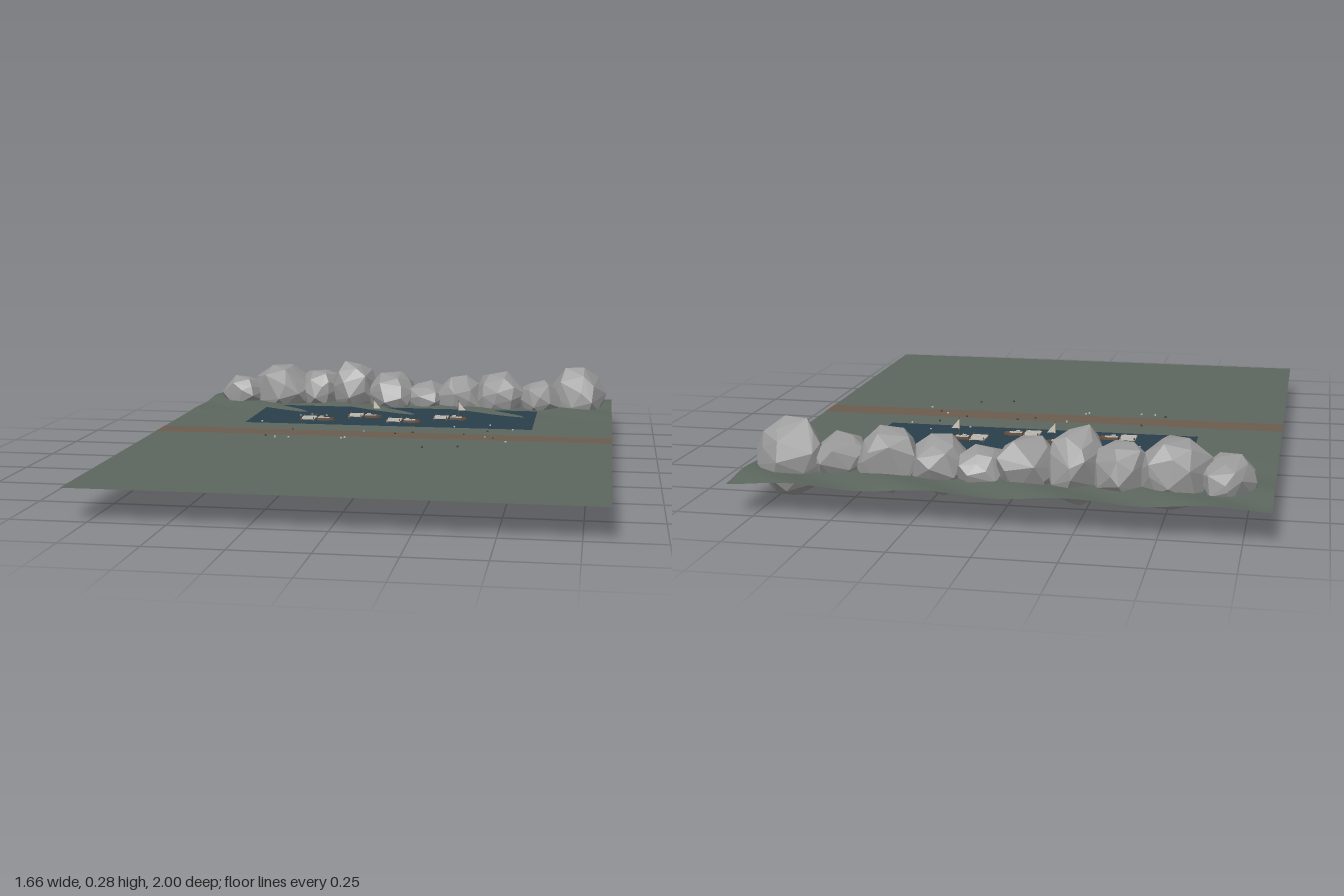
import * as THREE from 'three';
import { ConvexGeometry } from 'three/addons/geometries/ConvexGeometry.js';

const GROUND = 0.105;

function paint(name, color, side = THREE.FrontSide) {
  const m = new THREE.MeshStandardMaterial({ color, side });
  m.name = name;
  return m;
}

// small seeded random generator
function seeded(seed) {
  let s = seed;
  return () => (s = (s * 16807) % 2147483647) / 2147483647;
}

// diagonal ripples that grow towards the back edge
function groundHeight(x, z) {
  const amp = 0.0065 * Math.max(0, (-z - 0.3) / 0.7);
  const u = x - 1.33 * (z + 0.61) + 0.14;
  return GROUND + amp * Math.cos((u * Math.PI * 2) / 0.43);
}

export function createModel() {
  const model = new THREE.Group();
  const mats = {
    ground: paint('mossy green', 0x5c675e, THREE.DoubleSide),
    water: paint('deep water', 0x2a3f4b, THREE.DoubleSide),
    path: paint('brown earth', 0x6b5d4e, THREE.DoubleSide),
    rock: paint('grey stone', 0x999999),
    plank: paint('pale planks', 0xb9b7b0),
    wood: paint('dark wood', 0x6a5140),
    sail: paint('sail cloth', 0xcfcac0, THREE.DoubleSide),
    dark: paint('dark pebble', 0x3a3f3a),
  };
  const add = (parent, name, geo, mat, x = 0, y = 0, z = 0) => {
    const mesh = new THREE.Mesh(geo, mat);
    mesh.name = name;
    mesh.position.set(x, y, z);
    parent.add(mesh);
    return mesh;
  };
  const box = (w, h, d) => new THREE.BoxGeometry(w, h, d);
  const flat = (w, d, sx = 1, sz = 1) => new THREE.PlaneGeometry(w, d, sx, sz).rotateX(-Math.PI / 2);

  // ground sheet
  const ground = flat(1.665, 2, 100, 120);
  const p = ground.attributes.position;
  for (let i = 0; i < p.count; i++) p.setY(i, groundHeight(p.getX(i), p.getZ(i)));
  ground.computeVertexNormals();
  add(model, 'ground', ground, mats.ground);

  // lake and dirt path
  add(model, 'lake', flat(1.09, 0.415), mats.water, -0.005, GROUND + 0.0015, -0.4025);
  add(model, 'path', flat(1.665, 0.11), mats.path, 0, GROUND + 0.001, -0.02);

  // rock ridge: x range, y range, z range of each boulder
  const boulders = [
    [-0.78, -0.59, 0.05, 0.205, -0.87, -0.67],
    [-0.65, -0.40, 0.03, 0.25, -0.88, -0.645],
    [-0.46, -0.27, 0.05, 0.23, -0.89, -0.675],
    [-0.32, -0.13, 0.025, 0.275, -0.87, -0.66],
    [-0.18, 0.03, 0.04, 0.23, -0.88, -0.63],
    [-0.02, 0.17, 0.05, 0.2, -0.87, -0.67],
    [0.12, 0.31, 0.03, 0.225, -0.86, -0.655],
    [0.27, 0.49, 0.03, 0.245, -0.85, -0.66],
    [0.45, 0.63, 0.05, 0.215, -0.865, -0.64],
    [0.59, 0.81, 0.0, 0.265, -0.89, -0.69],
  ];
  const ridge = new THREE.Group();
  ridge.name = 'rockRidge';
  model.add(ridge);
  boulders.forEach(([x0, x1, y0, y1, z0, z1], n) => {
    const rnd = seeded(811 + n * 977);
    for (let k = 0; k < 5; k++) rnd();
    const pts = [];
    const count = 34;
    for (let i = 0; i < count; i++) {
      const h = 1 - (2 * (i + 0.5)) / count;
      const a = i * 2.39996 + rnd() * 0.7;
      const r = Math.sqrt(1 - h * h);
      pts.push(new THREE.Vector3(r * Math.cos(a), h, r * Math.sin(a)).multiplyScalar(0.85 + 0.2 * rnd()));
    }
    // fit the boulder into its range
    const b = new THREE.Box3().setFromPoints(pts);
    const size = b.getSize(new THREE.Vector3());
    pts.forEach((v) => v.set(
      x0 + ((v.x - b.min.x) / size.x) * (x1 - x0),
      y0 + ((v.y - b.min.y) / size.y) * (y1 - y0),
      z0 + ((v.z - b.min.z) / size.z) * (z1 - z0)));
    add(ridge, 'boulder', new ConvexGeometry(pts), mats.rock);
  });

  // pointed boat outline
  const outline = new THREE.Shape();
  outline.moveTo(-0.032, -0.011);
  outline.lineTo(0.012, -0.013);
  outline.quadraticCurveTo(0.028, -0.01, 0.034, 0);
  outline.quadraticCurveTo(0.028, 0.01, 0.012, 0.013);
  outline.lineTo(-0.032, 0.011);
  const hull = new THREE.ExtrudeGeometry(outline, { depth: 0.009, bevelEnabled: false }).rotateX(-Math.PI / 2);
  const sail = new THREE.Shape([[0, 0], [0.03, 0], [0, 0.035]].map(([x, y]) => new THREE.Vector2(x, y)));

  // moorings: a plank dock with a boat beside it
  [[-0.32, -0.285, false], [-0.15, -0.37, true], [0.012, -0.285, false], [0.182, -0.37, true]].forEach(([x, z, tall]) => {
    const mooring = new THREE.Group();
    mooring.name = 'mooring';
    mooring.position.set(x, GROUND, z);
    model.add(mooring);
    for (let i = 0; i < 4; i++) {
      add(mooring, 'plank', box(0.054, 0.003, 0.0155), mats.plank, 0, 0.01, (i - 1.5) * 0.0175);
    }
    for (const sx of [-1, 1]) {
      add(mooring, 'beam', box(0.004, 0.003, 0.068), mats.wood, sx * 0.02, 0.007, 0);
      for (const sz of [-1, 1]) {
        add(mooring, 'post', box(0.004, 0.018, 0.004), mats.wood, sx * 0.024, 0.009, sz * 0.032);
      }
    }
    add(mooring, 'hull', hull, mats.wood, 0.066, 0.002, 0);
    add(mooring, 'boatDeck', box(0.044, 0.002, 0.02), mats.plank, 0.058, 0.0115, 0);
    add(mooring, 'cabin', box(0.014, 0.006, 0.012), mats.plank, 0.05, 0.015, 0);
    const mast = tall ? 0.07 : 0.02;
    add(mooring, 'mast', new THREE.CylinderGeometry(0.0012, 0.0012, mast, 6), mats.wood, 0.066, 0.008 + mast / 2, 0);
    if (tall) add(mooring, 'sail', new THREE.ShapeGeometry(sail), mats.sail, 0.066, 0.038, 0);
  });

  // scattered pebbles, as x and z pairs
  const scatter = (name, mat, spots) => spots.forEach(([x, z]) =>
    add(model, name, box(0.006, 0.005, 0.006), mat, x, GROUND + 0.0025, z));
  scatter('palePebble', mats.plank, [
    [-0.37, -0.37], [-0.33, -0.4], [-0.27, -0.385], [-0.49, -0.225], [-0.07, -0.07], [-0.37, 0.085],
    [-0.32, 0.085], [-0.13, 0.07], [-0.12, 0.055], [0.25, -0.21], [0.47, -0.18], [0.38, -0.02], [0.46, 0.06], [0.38, -0.26]]);
  scatter('darkPebble', mats.dark, [
    [-0.34, -0.08], [0.05, -0.04], [0.11, -0.07], [0.3, -0.06], [0.38, -0.14], [0.41, 0], [0.3, 0.17], [0.18, 0.2], [-0.41, 0.06]]);

  return model;
}
